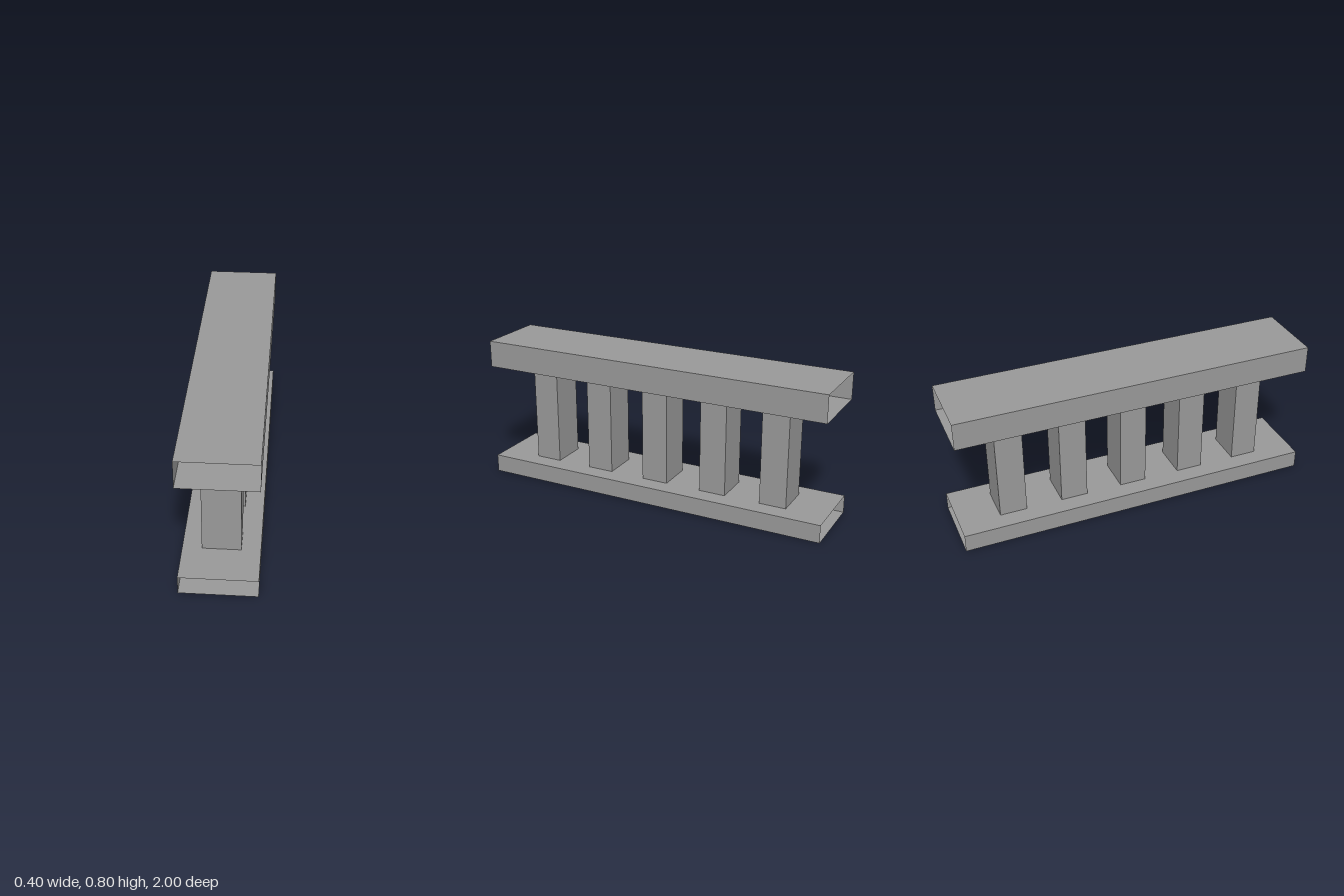
import * as THREE from 'three';

const material = new THREE.MeshStandardMaterial({
  color: 0x999999, flatShading: true, side: THREE.DoubleSide,
});

// Four-sided sleeve of thin walls, open at both ends along y
function sleeve(width, height, depth) {
  const tube = new THREE.CylinderGeometry(Math.SQRT1_2, Math.SQRT1_2, 1, 4, 1, true)
    .rotateY(Math.PI / 4)
    .scale(width, height, depth)
    .toNonIndexed();
  tube.computeVertexNormals();
  return tube;
}

export function createModel() {
  const group = new THREE.Group();
  group.name = 'balustrade';

  const add = (name, geometry, y, z = 0) => {
    const mesh = new THREE.Mesh(geometry, material);
    mesh.name = name;
    mesh.position.set(0, y, z);
    group.add(mesh);
  };

  // Hollow rails running front to back, open at the ends
  const rail = (height) => sleeve(0.4, 2, height).rotateX(Math.PI / 2);
  add('bottomRail', rail(0.1), 0.05);
  add('topRail', rail(0.15), 0.725);

  // Evenly spaced posts between the rails
  const post = sleeve(0.2, 0.55, 0.15);
  for (let i = -2; i <= 2; i++) add(`post${i + 3}`, post, 0.375, i * 0.35);

  return group;
}
